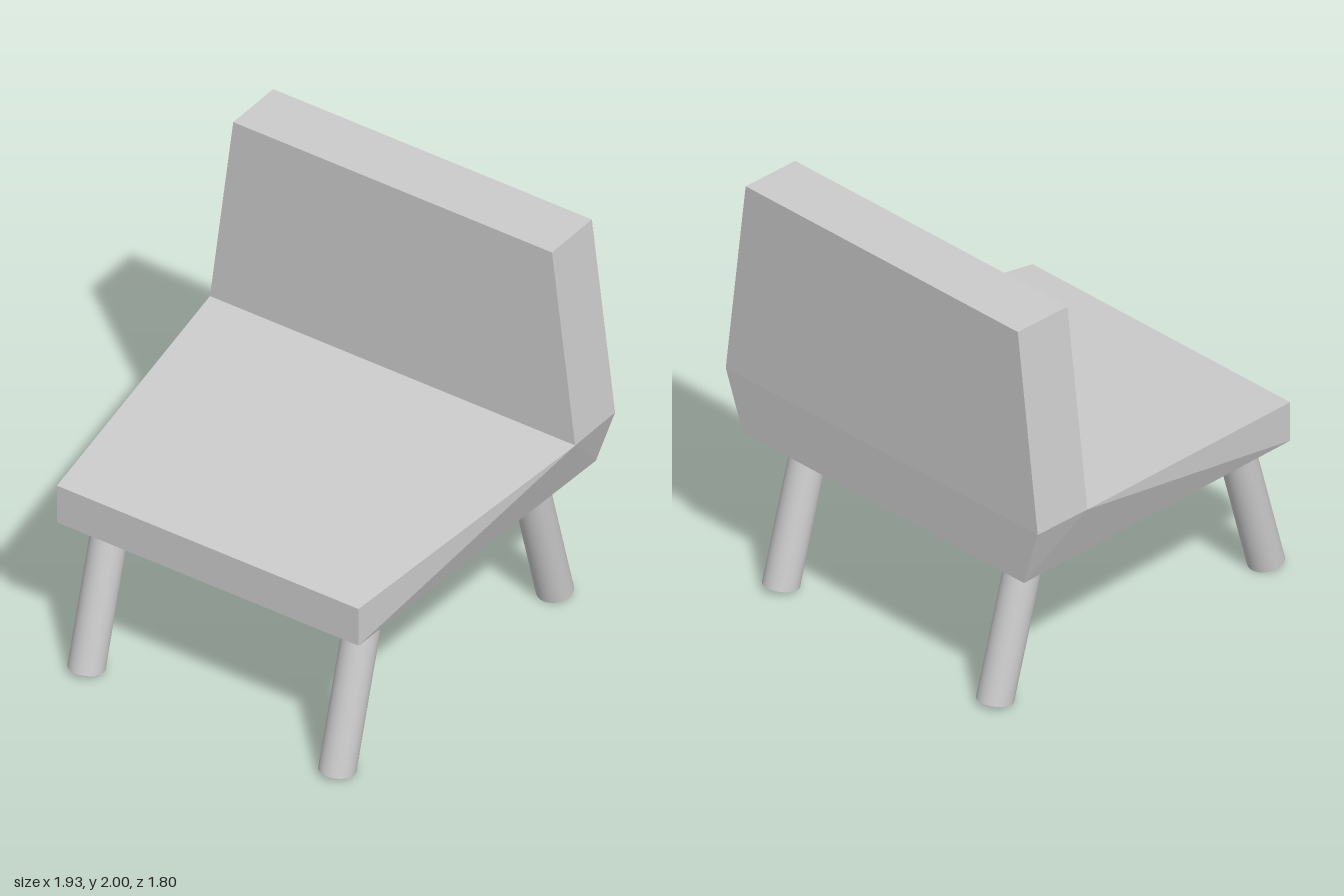
import * as THREE from 'three';

const material = new THREE.MeshStandardMaterial({ color: 0xcccccc });
const flatMaterial = new THREE.MeshStandardMaterial({ color: 0xcccccc, flatShading: true });

// Mirrored solid from a side outline of [halfWidth, y, z] points.
// The first outline edge is left open, where seat and backrest join.
function mirroredSlab(name, outline) {
  const positions = [];
  const left = outline.map(([x, y, z]) => [x, y, z]);
  const right = outline.map(([x, y, z]) => [-x, y, z]);
  const triangle = (a, b, c) => positions.push(...a, ...b, ...c);
  const n = outline.length;
  for (let i = 1; i < n; i++) {
    const j = (i + 1) % n;
    triangle(right[i], left[i], left[j]);
    triangle(right[i], left[j], right[j]);
  }
  for (let i = 1; i < n - 1; i++) {
    triangle(left[0], left[i + 1], left[i]);
    triangle(right[0], right[i], right[i + 1]);
  }
  const geometry = new THREE.BufferGeometry();
  geometry.setAttribute('position', new THREE.Float32BufferAttribute(positions, 3));
  geometry.computeVertexNormals();
  const mesh = new THREE.Mesh(geometry, flatMaterial);
  mesh.name = name;
  return mesh;
}

// Round leg slanting outwards; dir is +1 for the front and -1 for the rear.
function slantedLeg(name, x, dir) {
  const height = 0.75;
  const geometry = new THREE.CylinderGeometry(0.083, 0.083, height, 32);
  geometry.translate(0, height / 2, 0);
  geometry.applyMatrix4(new THREE.Matrix4().set(
    1, 0, 0, 0,
    0, 1, 0.17 * dir, 0,
    0, -0.28 * dir, 1, 0,
    0, 0, 0, 1
  ));
  const mesh = new THREE.Mesh(geometry, material);
  mesh.name = name;
  mesh.position.set(x, 0.015, 0.818 * dir);
  return mesh;
}

export function createModel() {
  const model = new THREE.Group();
  model.name = 'chair';

  // Line where the seat meets the backrest
  const seamFront = [0.965, 1.025, -0.59];
  const seamBack = [0.965, 1.025, -0.89];

  // Wedge seat, wider and thicker towards the back
  model.add(mirroredSlab('seat', [
    seamFront, seamBack, [0.87, 0.735, -0.88], [0.797, 0.705, 0.8], [0.797, 0.9, 0.8],
  ]));

  // Backrest narrowing towards the top
  model.add(mirroredSlab('backrest', [
    seamBack, seamFront, [0.842, 2, -0.59], [0.842, 2, -0.89],
  ]));

  // Four legs
  for (const [side, x] of [['Right', -0.628], ['Left', 0.697]]) {
    model.add(slantedLeg('front' + side + 'Leg', x, 1));
    model.add(slantedLeg('rear' + side + 'Leg', x, -1));
  }
  return model;
}
